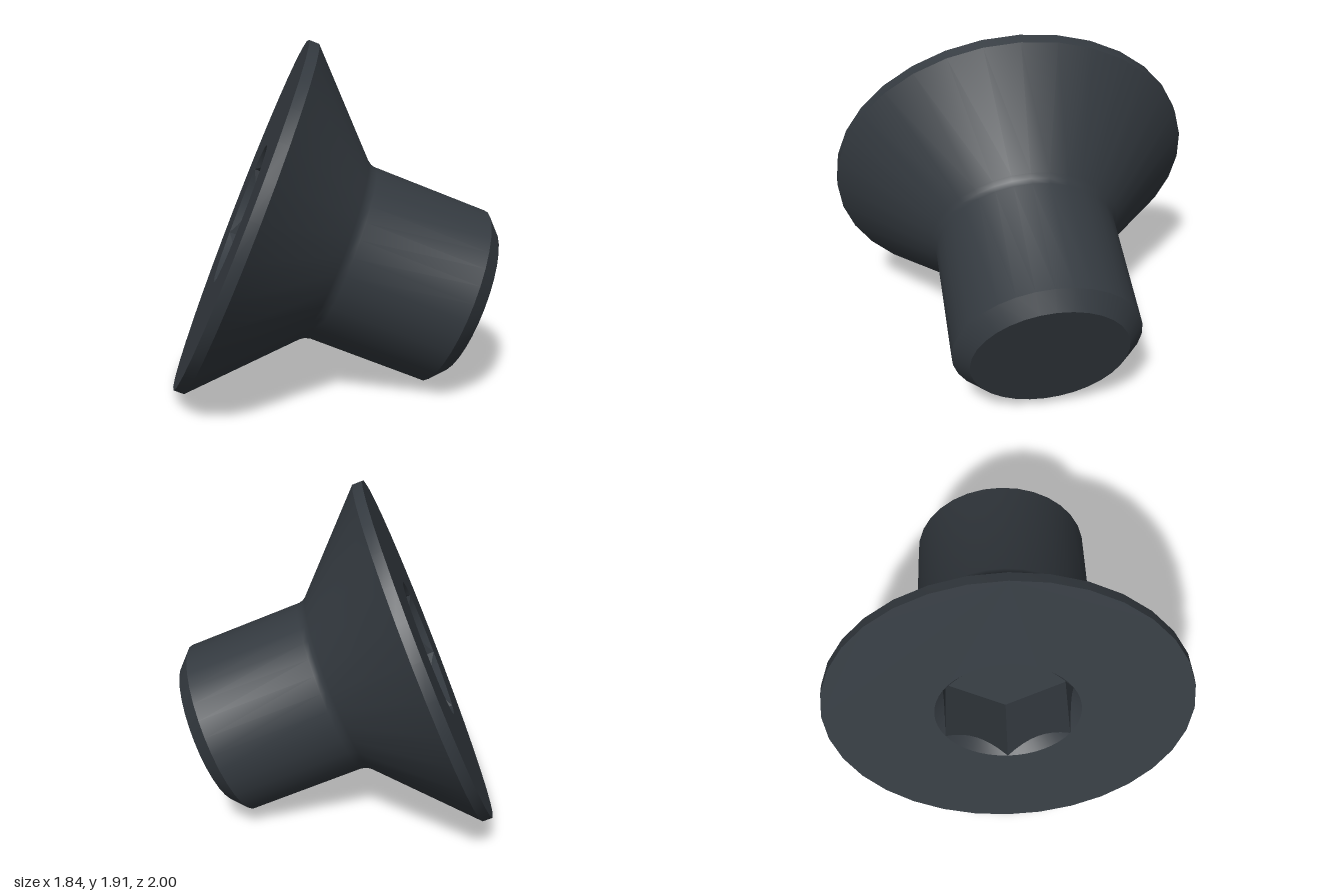
import * as THREE from 'three';
import { toCreasedNormals } from 'three/addons/utils/BufferGeometryUtils.js';

const SIDES = 32;
const HEAD_R = 1.02, SHAFT_R = 0.51, SOCKET_R = 0.403, SOCKET_DEPTH = 0.37, LENGTH = 1.36;

const steel = new THREE.MeshStandardMaterial({ color: 0x343a40 });
steel.name = 'dark steel';

function addMesh(group, name, geometry) {
  const mesh = new THREE.Mesh(geometry, steel);
  mesh.name = name;
  group.add(mesh);
  return mesh;
}

// Smooth round surface from [radius, height] pairs, listed upwards
function turned(profile) {
  const points = profile.map(([r, y]) => new THREE.Vector2(r, y));
  return toCreasedNormals(new THREE.LatheGeometry(points, SIDES), 0.55);
}

// Rings of the socket: round mouth, chamfer edge on the flats, floor edge
function socketRings(steps) {
  const mouth = [], edge = [], floor = [];
  for (let i = 0; i <= 6 * steps; i++) {
    const a = (i / steps) * (Math.PI / 3);
    const fromFlat = ((i % steps) / steps) * (Math.PI / 3) - Math.PI / 6;
    const r = SOCKET_R * Math.cos(Math.PI / 6) / Math.cos(fromFlat);
    const at = (radius, y) => [radius * Math.cos(a), y, -radius * Math.sin(a)];
    mouth.push(at(SOCKET_R, 0));
    edge.push(at(r, -(SOCKET_R - r) * 1.1));
    floor.push(at(r, -SOCKET_DEPTH));
  }
  return { mouth, edge, floor };
}

// Inward-facing band between two rings
function band(top, bottom) {
  const p = [];
  for (let i = 0; i < top.length - 1; i++) {
    p.push(...top[i], ...top[i + 1], ...bottom[i]);
    p.push(...top[i + 1], ...bottom[i + 1], ...bottom[i]);
  }
  const g = new THREE.BufferGeometry();
  g.setAttribute('position', new THREE.Float32BufferAttribute(p, 3));
  return toCreasedNormals(g, 0.5);
}

export function createModel() {
  const screw = new THREE.Group();
  screw.name = 'countersunkScrew';

  // Shaft with bevelled tip, small fillet, conical head and rim
  addMesh(screw, 'shaftAndHead', turned([
    [SHAFT_R - 0.085, -LENGTH],
    [SHAFT_R, -LENGTH + 0.085],
    [SHAFT_R, -0.6],
    [SHAFT_R + 0.008, -0.568],
    [SHAFT_R + 0.025, -0.543],
    [HEAD_R, -0.058],
    [HEAD_R, 0],
  ]));
  const tip = addMesh(screw, 'tipFace', new THREE.CircleGeometry(SHAFT_R - 0.085, SIDES));
  tip.rotation.x = Math.PI / 2;
  tip.position.y = -LENGTH;

  // Flat head face with a round hole
  const { mouth, edge, floor } = socketRings(8);
  const disc = [];
  for (let i = 0; i < SIDES; i++) {
    const a = (i / SIDES) * Math.PI * 2;
    disc.push(new THREE.Vector2(HEAD_R * Math.cos(a), HEAD_R * Math.sin(a)));
  }
  const face = new THREE.Shape(disc);
  face.holes.push(new THREE.Path(mouth.slice(0, -1).map(([x, , z]) => new THREE.Vector2(x, -z))));
  addMesh(screw, 'headFace', new THREE.ShapeGeometry(face)).rotation.x = -Math.PI / 2;

  // Hexagonal socket
  addMesh(screw, 'socketChamfer', band(mouth, edge));
  addMesh(screw, 'socketWalls', band(edge, floor));
  const base = addMesh(screw, 'socketFloor', new THREE.CircleGeometry(SOCKET_R, 6));
  base.rotation.x = -Math.PI / 2;
  base.position.y = -SOCKET_DEPTH;

  // Lay the screw down on its rim and tip
  const axis = new THREE.Vector3(-0.906, 0.376, -0.197).normalize();
  const up = new THREE.Vector3(0, 1, 0).addScaledVector(axis, -axis.y).normalize();
  const side = new THREE.Vector3().crossVectors(up, axis);
  screw.quaternion.setFromRotationMatrix(new THREE.Matrix4().makeBasis(up, axis, side));
  screw.position.set(-0.49, 0.947, -0.005);

  const model = new THREE.Group();
  model.name = 'screwModel';
  model.add(screw);
  return model;
}
